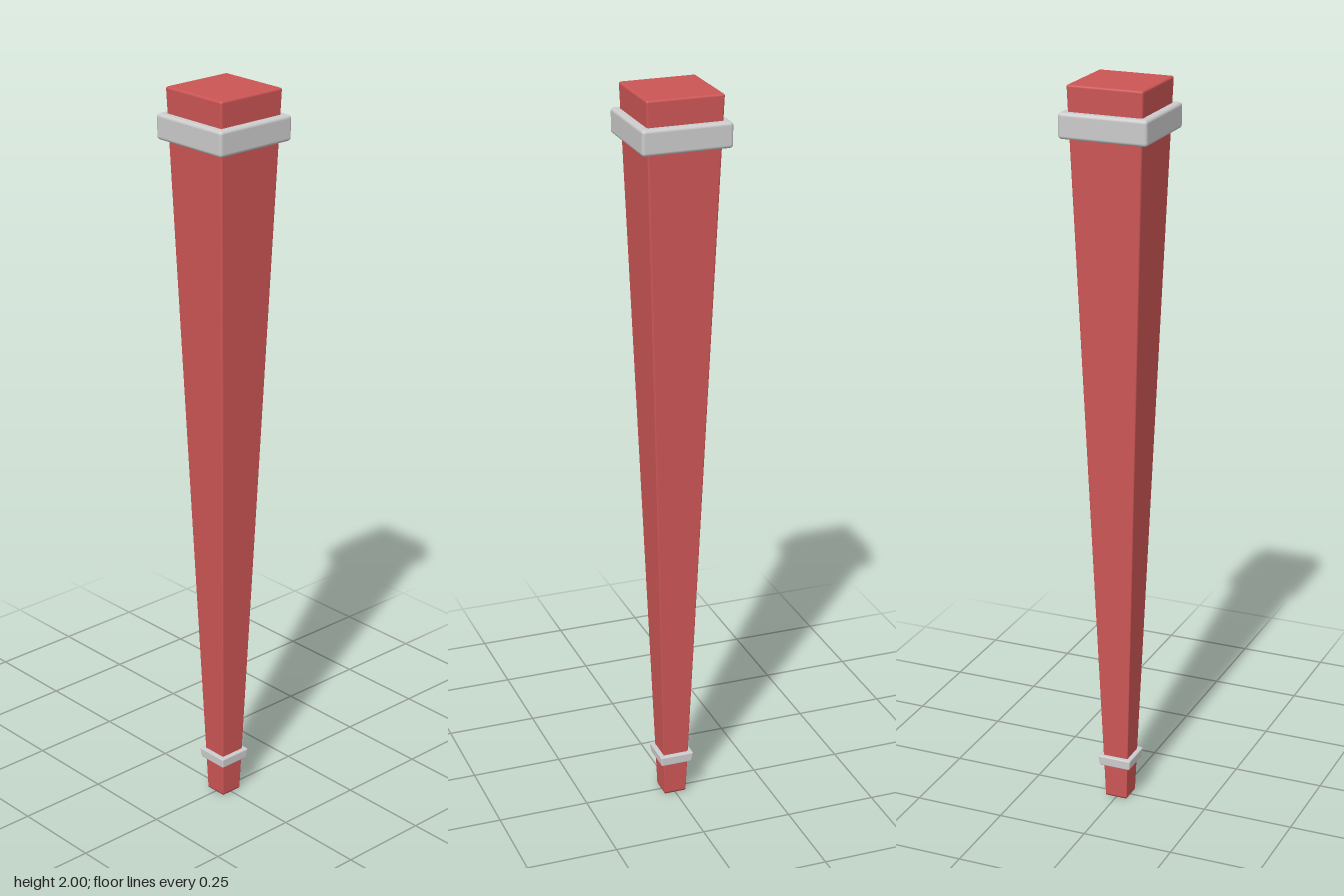
import * as THREE from 'three';
import { RoundedBoxGeometry } from 'three/addons/geometries/RoundedBoxGeometry.js';

// Square rounded block from y0 to y1, tapering from half-width h0 to h1
function taperedBlock(name, y0, y1, h0, h1, radius, material) {
  const height = y1 - y0;
  const top = Math.max(h0, h1);
  const geometry = new RoundedBoxGeometry(top * 2, height, top * 2, 3, radius);
  geometry.translate(0, height / 2, 0);
  const p = geometry.attributes.position;
  for (let i = 0; i < p.count; i++) {
    const y = p.getY(i);
    const s = THREE.MathUtils.lerp(h0, h1, y / height) / top;
    p.setXYZ(i, p.getX(i) * s, y + y0, p.getZ(i) * s);
  }
  const mesh = new THREE.Mesh(geometry, material);
  mesh.name = name;
  return mesh;
}

export function createModel() {
  const group = new THREE.Group();
  group.name = 'taperedLeg';
  const red = new THREE.MeshStandardMaterial({ color: 0xcc5555 });
  const grey = new THREE.MeshStandardMaterial({ color: 0xcccccc });

  group.add(
    // long square shaft, narrow at the foot
    taperedBlock('shaft', 0, 2, 0.031, 0.103, 0.006, red),
    // collars near the top and the foot
    taperedBlock('upperCollar', 1.865, 1.932, 0.12, 0.12, 0.009, grey),
    taperedBlock('lowerCollar', 0.097, 0.127, 0.044, 0.048, 0.004, grey),
  );
  return group;
}
